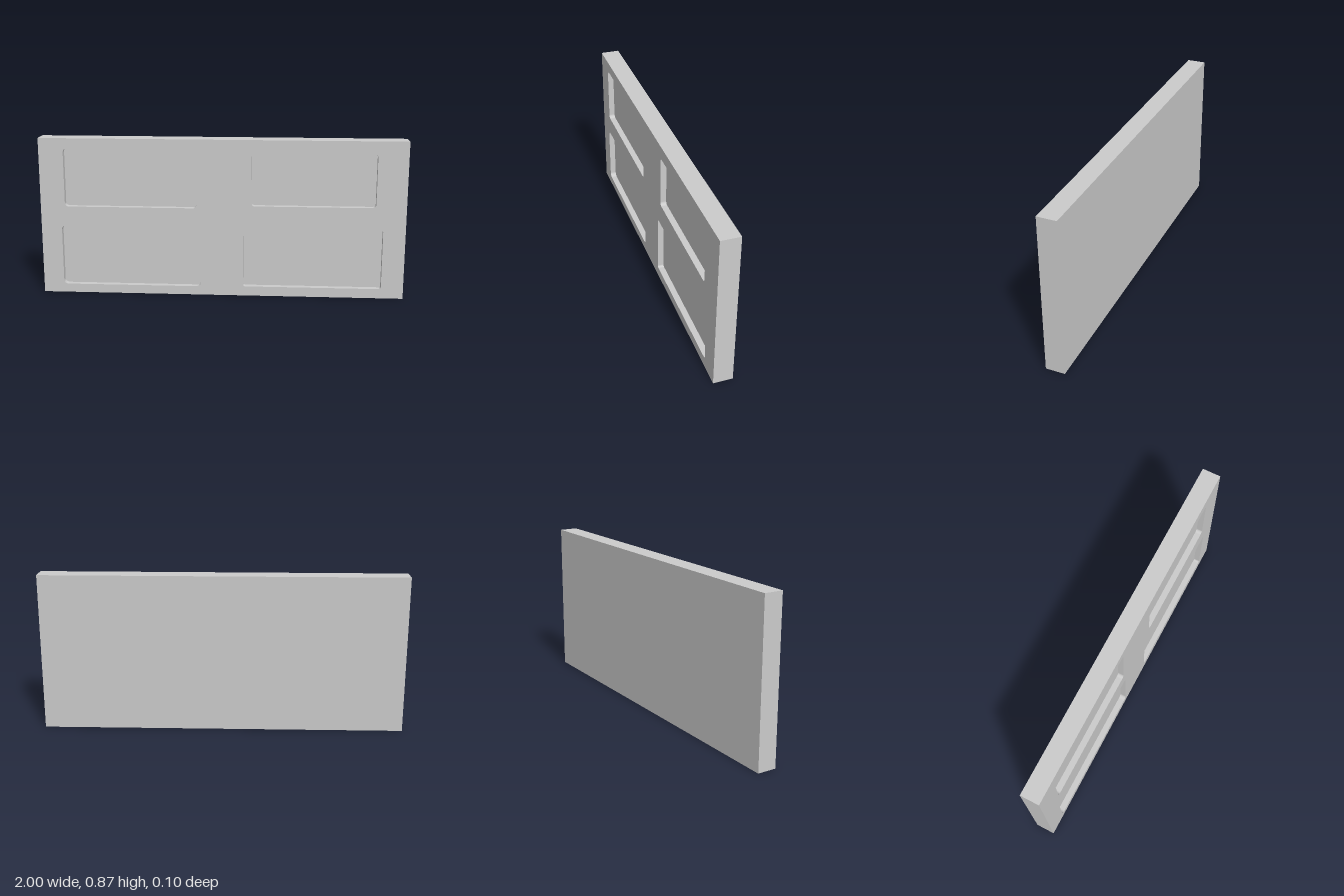
import * as THREE from 'three';

const WIDTH = 2, HEIGHT = 0.873, THICKNESS = 0.104, POCKET_DEPTH = 0.033;

// Recessed pockets: left, right, bottom, top, corner radius
const POCKETS = [
  [-0.865, -0.137, 0.494, 0.815, 0.02],
  [0.163, 0.836, 0.51, 0.803, 0.018],
  [-0.887, -0.115, 0.048, 0.386, 0.024],
  [0.12, 0.879, 0.053, 0.386, 0.012],
];

function roundedRect(path, [x0, x1, y0, y1, r]) {
  path.absarc(x1 - r, y1 - r, r, 0, Math.PI / 2);
  path.absarc(x0 + r, y1 - r, r, Math.PI / 2, Math.PI);
  path.absarc(x0 + r, y0 + r, r, Math.PI, Math.PI * 1.5);
  path.absarc(x1 - r, y0 + r, r, Math.PI * 1.5, Math.PI * 2);
  path.closePath();
  return path;
}

export function createModel() {
  const group = new THREE.Group();
  group.name = 'panel';
  const material = new THREE.MeshStandardMaterial({ color: 0xcccccc });

  // Solid slab behind the pockets, whose front forms the pocket floors
  const backDepth = THICKNESS - POCKET_DEPTH;
  const back = new THREE.Mesh(new THREE.BoxGeometry(WIDTH, HEIGHT, backDepth), material);
  back.name = 'backSlab';
  back.position.set(0, HEIGHT / 2, (backDepth - THICKNESS) / 2);
  group.add(back);

  // Front layer with the four pocket openings
  const face = new THREE.Shape([
    new THREE.Vector2(-WIDTH / 2, 0),
    new THREE.Vector2(WIDTH / 2, 0),
    new THREE.Vector2(WIDTH / 2, HEIGHT),
    new THREE.Vector2(-WIDTH / 2, HEIGHT),
  ]);
  face.holes = POCKETS.map((p) => roundedRect(new THREE.Path(), p));
  const front = new THREE.Mesh(
    new THREE.ExtrudeGeometry(face, { depth: POCKET_DEPTH, bevelEnabled: false, curveSegments: 8 }),
    material
  );
  front.name = 'pocketedFront';
  front.position.z = THICKNESS / 2 - POCKET_DEPTH;
  group.add(front);

  return group;
}
